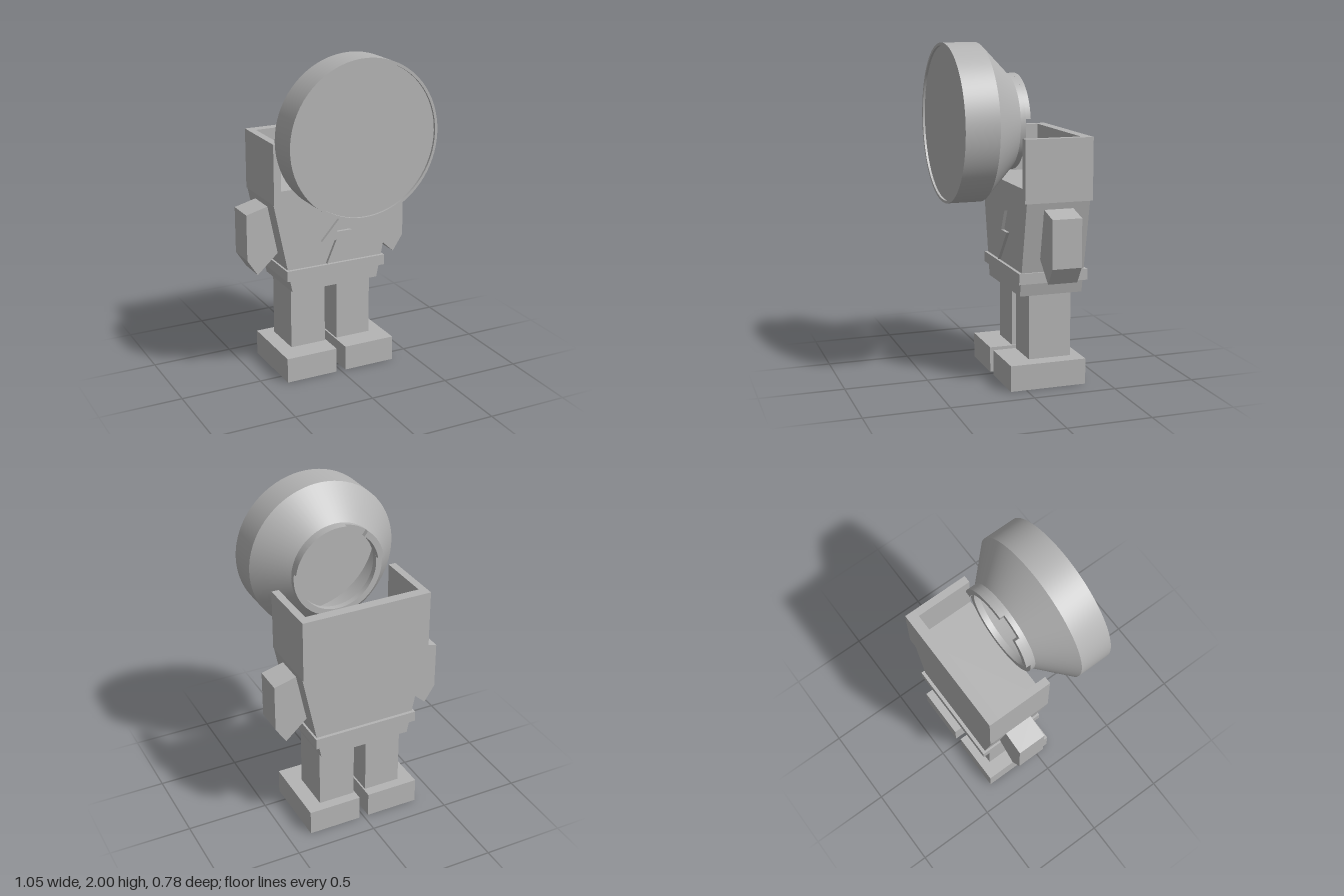
import * as THREE from 'three';
import { toCreasedNormals } from 'three/addons/utils/BufferGeometryUtils.js';

export function createModel() {
  const model = new THREE.Group();
  const grey = new THREE.MeshStandardMaterial({ color: 0xb4b4b4 });
  grey.name = 'plain grey';

  const add = (name, geometry, parent = model) => {
    const mesh = new THREE.Mesh(geometry, grey);
    mesh.name = name;
    parent.add(mesh);
    return mesh;
  };

  // Box given by its limits on each axis
  const block = (name, x0, x1, y0, y1, z0, z1) => {
    const g = new THREE.BoxGeometry(x1 - x0, y1 - y0, z1 - z0);
    g.translate((x0 + x1) / 2, (y0 + y1) / 2, (z0 + z1) / 2);
    return add(name, g);
  };

  // Front outline pushed through from z0 to z1
  const slab = (name, points, z0, z1, parent) => {
    const shape = new THREE.Shape(points.map(([x, y]) => new THREE.Vector2(x, y)));
    const g = new THREE.ExtrudeGeometry(shape, { depth: z1 - z0, bevelEnabled: false });
    g.translate(0, 0, z0);
    return add(name, g, parent);
  };

  // Legs, feet and arms, mirrored
  for (const s of [1, -1]) {
    const side = s > 0 ? 'left' : 'right';
    const span = (a, b) => (s > 0 ? [a, b] : [-b, -a]);
    block(side + 'Foot', ...span(0.03, 0.36), 0, 0.155, -0.37, 0.095);
    block(side + 'Leg', ...span(0.04, 0.268), 0.155, 0.545, -0.308, -0.048);
    const arm = [[0.39, 1.07], [0.527, 1.035], [0.527, 0.75], [0.462, 0.65], [0.33, 0.77]];
    slab(side + 'Arm', arm.map(([x, y]) => [x * s, y]), -0.27, -0.092);
  }

  // Tapered body, belt and chest emblem
  slab('torso', [[-0.285, 0.545], [0.285, 0.545], [0.4, 1.11], [-0.4, 1.11]], -0.37, 0.015);
  block('belt', -0.327, 0.327, 0.625, 0.69, -0.39, 0.034);
  slab('chestBolt', [[0.06, 1.015], [-0.097, 0.84], [0, 0.84], [-0.063, 0.695],
    [0.1, 0.89], [0, 0.89]], 0.01, 0.034);

  // Open-topped, open-fronted shoulder box
  block('shoulderBase', -0.4, 0.4, 1.108, 1.19, -0.387, 0.025);
  block('shoulderBack', -0.4, 0.4, 1.19, 1.475, -0.387, -0.325);
  block('leftShoulderWall', 0.355, 0.4, 1.19, 1.475, -0.325, 0.025);
  block('rightShoulderWall', -0.4, -0.355, 1.19, 1.475, -0.325, 0.025);

  // Hollow round head facing forward
  const head = new THREE.Group();
  head.name = 'head';
  head.position.y = 1.538;
  model.add(head);
  const turned = (name, profile) => {
    const g = new THREE.LatheGeometry(profile.map(([r, z]) => new THREE.Vector2(r, z)), 72);
    g.rotateX(Math.PI / 2);
    add(name, toCreasedNormals(g, 0.5), head);
  };
  turned('headShell', [[0.245, -0.022], [0.282, -0.022], [0.282, 0.01], [0.463, 0.19],
    [0.463, 0.39], [0.447, 0.39], [0.447, 0.377], [0, 0.377]]);
  turned('headInside', [[0, 0.36], [0.44, 0.36], [0.44, 0.2], [0.245, 0.015], [0.245, -0.022]]);

  // Broken collar: raised arcs behind the head opening
  const deg = Math.PI / 180;
  for (const [from, to] of [[8, 98], [128, 172]]) {
    const arc = new THREE.Shape();
    arc.absarc(0, 0, 0.282, from * deg, to * deg, false);
    arc.absarc(0, 0, 0.245, to * deg, from * deg, true);
    const g = new THREE.ExtrudeGeometry(arc, { depth: 0.03, bevelEnabled: false, curveSegments: 24 });
    g.translate(0, 0, -0.05);
    add('collarArc', toCreasedNormals(g, 0.5), head);
  }
  return model;
}
